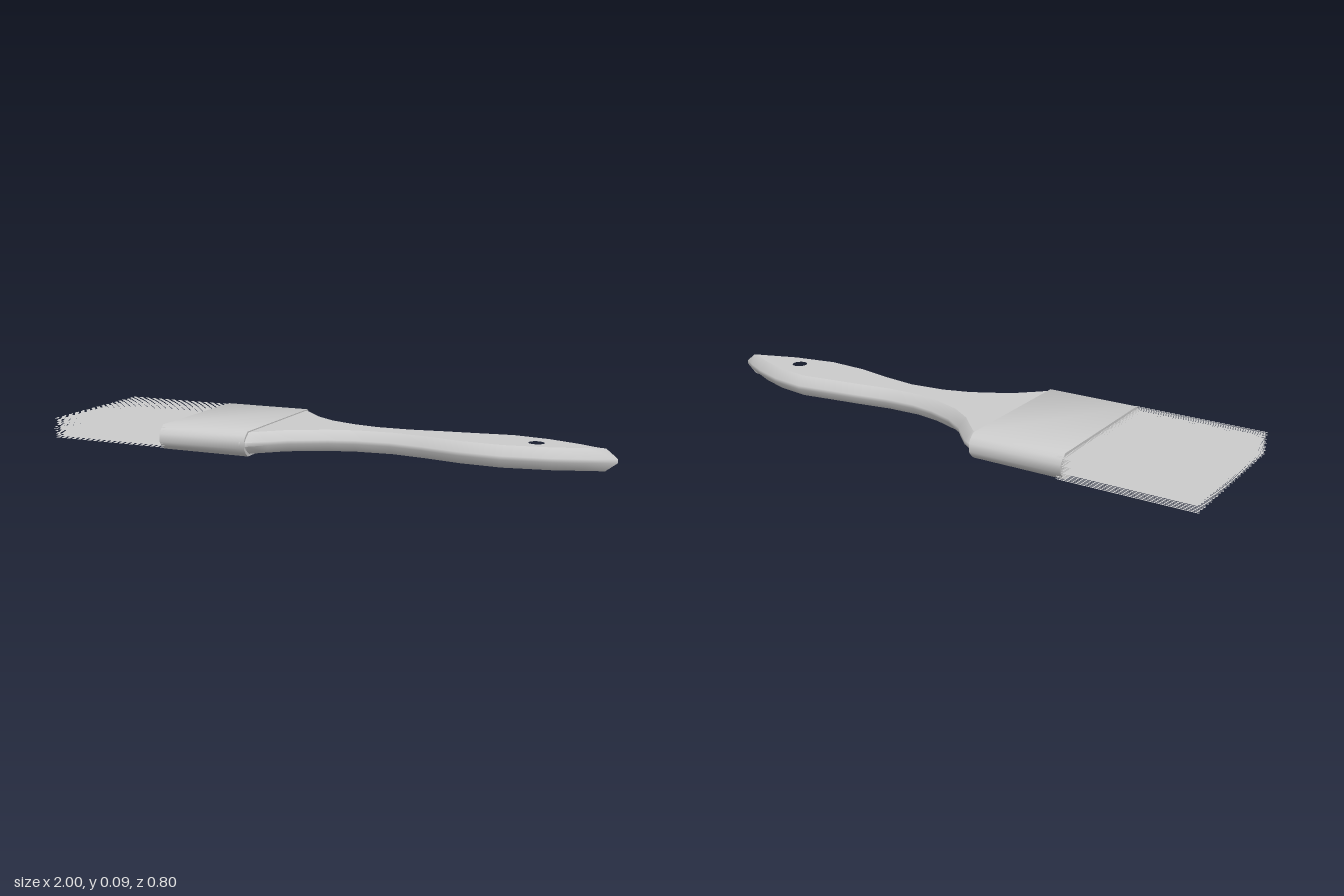
import * as THREE from 'three';
import { mergeGeometries, toCreasedNormals } from 'three/addons/utils/BufferGeometryUtils.js';

const grey = new THREE.MeshStandardMaterial({ color: 0xcccccc });
const bristleGrey = new THREE.MeshStandardMaterial({ color: 0xcccccc, side: THREE.DoubleSide });

function named(name, geometry, material = grey) {
  const mesh = new THREE.Mesh(geometry, material);
  mesh.name = name;
  return mesh;
}

// Curved wooden handle with chamfered edges and a flared hanging hole
function handleGeometry() {
  // outline as (x, z), running along the back edge to the tip and returning along the front
  const outline = [
    [-0.287, -0.307], [-0.235, -0.323], [-0.2, -0.312], [-0.1, -0.25], [-0.02, -0.222],
    [0.08, -0.213], [0.17, -0.22], [0.28, -0.252], [0.39, -0.3], [0.5, -0.345],
    [0.61, -0.391], [0.74, -0.405], [0.86, -0.394], [0.94, -0.377], [0.997, -0.36],
    [0.92, -0.293], [0.83, -0.233], [0.68, -0.163], [0.535, -0.134], [0.4, -0.127],
    [0.28, -0.112], [0.166, -0.07], [0.086, -0.022], [-0.016, 0.07], [-0.055, 0.13],
    [-0.096, 0.195], [-0.12, 0.207], [-0.153, 0.205],
  ];
  const hole = { x: 0.74, z: -0.294, r: 0.045 };
  const shape = new THREE.Shape(outline.map(([x, z]) => new THREE.Vector2(x, -z)));
  shape.holes.push(new THREE.Path().absarc(hole.x, -hole.z, hole.r, 0, Math.PI * 2, true));
  const chamfer = 0.028, rise = 0.031, thickness = 0.075;
  const geo = new THREE.ExtrudeGeometry(shape, {
    depth: thickness - 2 * rise, curveSegments: 24, bevelSegments: 1,
    bevelSize: chamfer, bevelOffset: -chamfer, bevelThickness: rise,
  });
  geo.rotateX(-Math.PI / 2).translate(0, 0.008 + rise, 0);

  // narrow the flare around the hole
  const p = geo.attributes.position;
  for (let i = 0; i < p.count; i++) {
    const dx = p.getX(i) - hole.x, dz = p.getZ(i) - hole.z, d = Math.hypot(dx, dz);
    if (d > 0.077) continue;
    const k = (hole.r + (d - hole.r) * 0.65) / d;
    p.setX(i, hole.x + dx * k);
    p.setZ(i, hole.z + dz * k);
  }
  return toCreasedNormals(geo, 0.79);
}

// Flat metal sleeve with chamfered sides, extruded along the brush axis
function ferruleGeometry(length) {
  const w = 0.275, h = 0.0435, side = 0.014, cut = 0.028;
  const quarter = [[w, side], [w - cut * 0.45, h * 0.72], [w - cut, h]];
  const half = [...quarter, ...quarter.map(([x, y]) => [-x, y]).reverse()];
  const ring = [...half, ...half.map(([x, y]) => [-x, -y])];
  const geo = new THREE.ExtrudeGeometry(
    new THREE.Shape(ring.map(([x, y]) => new THREE.Vector2(x, y))),
    { depth: length, bevelEnabled: false });
  return toCreasedNormals(geo.rotateY(Math.PI / 2), 1);
}

// Layers of thin flat hairs, staggered from layer to layer
function bristleGeometry(length) {
  const layers = 10, hairs = 60, width = 0.546, pitch = width / hairs;
  const parts = [];
  for (let j = 0; j < layers; j++) {
    const y = 0.008 + (0.071 * j) / (layers - 1);
    const stagger = ((j * 0.37) % 1) - 0.5;
    for (let i = 0; i < hairs; i++) {
      const z = (i + 0.5) * pitch - width / 2 + stagger * pitch * 0.6;
      const trim = 0.006 * ((i * 7 + j * 3) % 5) / 4;
      const hair = new THREE.PlaneGeometry(length - trim, pitch * 0.6).rotateX(-Math.PI / 2);
      parts.push(hair.translate(trim / 2, y, z));
    }
  }
  return mergeGeometries(parts);
}

export function createModel() {
  const brush = new THREE.Group();
  brush.name = 'paintBrush';
  brush.add(named('handle', handleGeometry()));

  // Head lies at a slight angle to the x axis
  const head = new THREE.Group();
  head.name = 'brushHead';
  head.rotation.y = 0.256;

  const ferrule = named('ferrule', ferruleGeometry(0.333));
  ferrule.position.set(-0.483, 0.0435, -0.106);

  const bristles = named('bristles', bristleGeometry(0.47), bristleGrey);
  bristles.position.set(-0.7, 0, -0.106);

  head.add(ferrule, bristles);
  brush.add(head);
  return brush;
}
